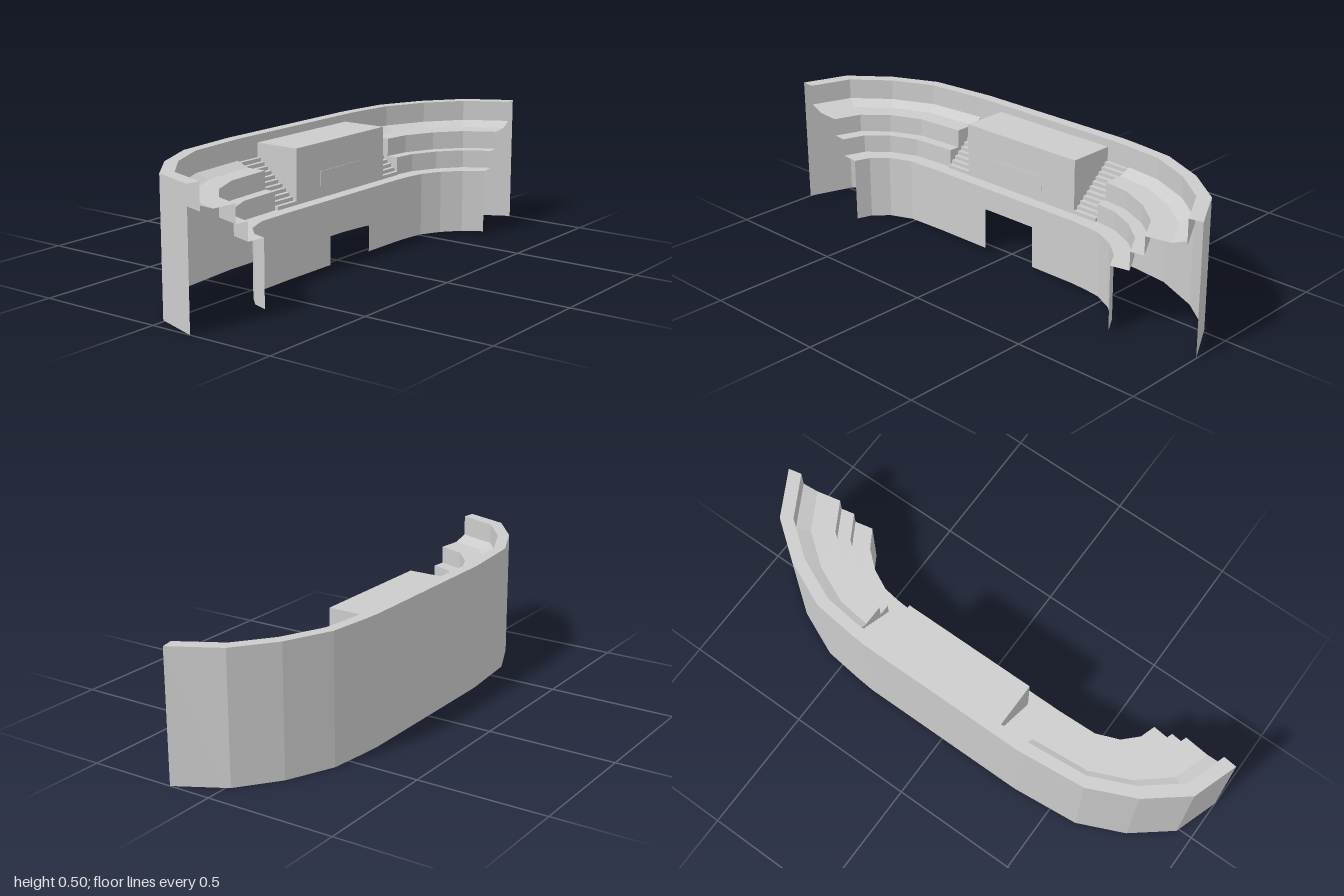
import * as THREE from 'three';

const mat = new THREE.MeshStandardMaterial({ color: 0xcccccc, flatShading: true, side: THREE.DoubleSide });

// Plan sections: [outer x, outer z, inner x, inner z], from the right wing to the left wing
const sections = [
  [-1, 0.166, -0.665, 0.2],
  [-0.94, -0.01, -0.645, 0.14],
  [-0.79, -0.13, -0.59, 0.085],
  [-0.61, -0.21, -0.5, 0.05],
  [-0.345, -0.235, -0.345, 0.045],
  [0.34, -0.235, 0.34, 0.045],
  [0.41, -0.229, 0.41, 0.05],
  [0.57, -0.21, 0.48, 0.06],
  [0.75, -0.13, 0.56, 0.1],
  [0.9, -0.015, 0.63, 0.16],
  [1, 0.166, 0.675, 0.234],
];

// Point at fraction t between outer and inner edge, at height y
const at = (s, t, y) => [s[0] + (s[2] - s[0]) * t, y, s[1] + (s[3] - s[1]) * t];

// Sheet of quads through rows of points
function loft(name, rows) {
  const pos = [];
  for (let i = 0; i + 1 < rows.length; i++) {
    for (let j = 0; j + 1 < rows[i].length; j++) {
      const a = rows[i][j], b = rows[i + 1][j], c = rows[i + 1][j + 1], d = rows[i][j + 1];
      pos.push(...a, ...c, ...b, ...a, ...d, ...c);
    }
  }
  const g = new THREE.BufferGeometry();
  g.setAttribute('position', new THREE.Float32BufferAttribute(pos, 3));
  g.computeVertexNormals();
  const mesh = new THREE.Mesh(g, mat);
  mesh.name = name;
  return mesh;
}

const sweep = (name, secs, profile) =>
  loft(name, secs.map(s => profile.map(([t, y]) => at(s, t, y))));

function box(name, x0, x1, y0, y1, z0, z1) {
  const mesh = new THREE.Mesh(new THREE.BoxGeometry(x1 - x0, y1 - y0, z1 - z0), mat);
  mesh.position.set((x0 + x1) / 2, (y0 + y1) / 2, (z0 + z1) / 2);
  mesh.name = name;
  return mesh;
}

export function createModel() {
  const model = new THREE.Group();
  model.name = 'grandstand';

  // Outer wall with its rim and the inner face of the parapet
  model.add(sweep('outerWall', sections, [[0, 0], [0, 0.5], [0.16, 0.5], [0.16, 0.4]]));
  model.add(sweep('parapetBase', sections.slice(4, 7), [[0.16, 0.4], [0.16, 0.26]]));

  // Front walkway along the whole stand
  model.add(sweep('walkway', sections, [[0.78, 0.26], [1, 0.26]]));

  // Seating tiers on both wings, closed beside the stairs
  const tiers = [[0.16, 0.42], [0.33, 0.4], [0.62, 0.4], [0.62, 0.33], [0.78, 0.33], [0.78, 0.26]];
  const wings = [
    ['right', sections.slice(0, 5), sections[4]],
    ['left', sections.slice(6), sections[6]],
  ];
  for (const [side, secs, end] of wings) {
    model.add(sweep(side + 'Tiers', secs, tiers));
    model.add(loft(side + 'TierEnd', [
      tiers.map(([t, y]) => at(end, t, y)),
      tiers.map(([t]) => at(end, t, 0.26)),
    ]));
  }

  // Front wall with a doorway
  const door = { x0: -0.097, x1: 0.145, top: 0.19 };
  const jamb = x => [x, -0.235, x, 0.045];
  const wall = [[1, 0.01], [1, 0.26]];
  model.add(sweep('rightFrontWall', [...sections.slice(0, 5), jamb(door.x0)], wall));
  model.add(sweep('leftFrontWall', [jamb(door.x1), ...sections.slice(5)], wall));
  model.add(sweep('doorLintel', [jamb(door.x0), jamb(door.x1)], [[1, door.top], [1, 0.26]]));

  // Central cabin with a window panel
  model.add(box('cabin', -0.235, 0.305, 0.26, 0.47, -0.19, -0.005));
  model.add(box('cabinWindow', -0.097, 0.148, 0.305, 0.362, -0.01, -0.003));

  // Stairs on both sides of the cabin
  const steps = 11, z0 = -0.19, z1 = -0.005, rise = 0.155 / steps, run = (z1 - z0) / steps;
  for (const [side, xa, xb] of [['right', -0.343, -0.235], ['left', 0.305, 0.408]]) {
    const stairs = new THREE.Group();
    stairs.name = side + 'Stairs';
    for (let i = 0; i < steps; i++) {
      const z = z1 - i * run;
      stairs.add(box('step', xa, xb, 0.26, 0.26 + (i + 1) * rise, z - run, z));
    }
    model.add(stairs);
  }
  return model;
}
